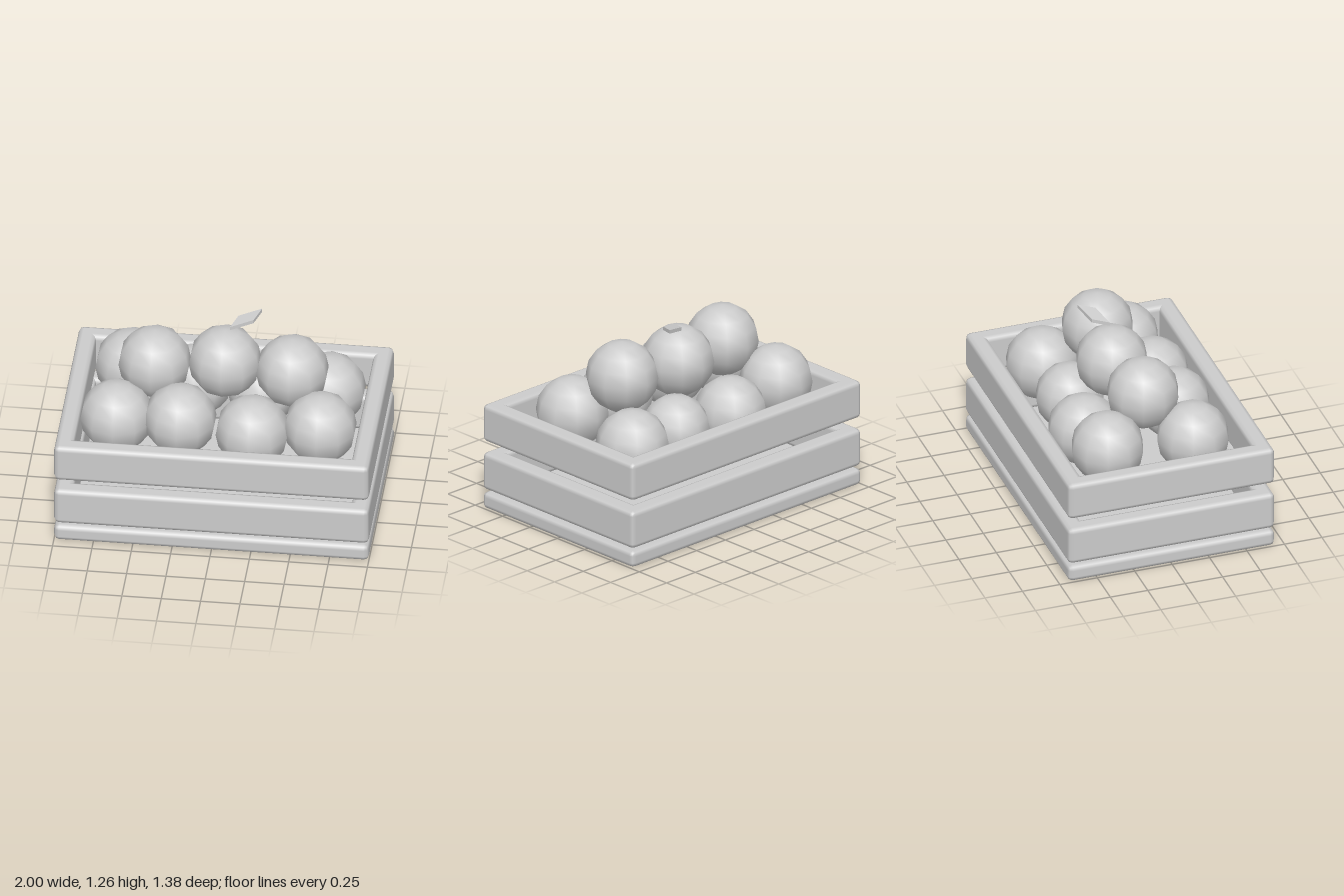
import * as THREE from 'three';
import { RoundedBoxGeometry } from 'three/addons/geometries/RoundedBoxGeometry.js';

export function createModel() {
  const model = new THREE.Group();
  model.name = 'fruitCrate';
  const grey = new THREE.MeshStandardMaterial({ color: 0xcccccc });
  grey.name = 'plain grey';

  function add(name, geometry, x, y, z, parent = model) {
    const mesh = new THREE.Mesh(geometry, grey);
    mesh.name = name;
    mesh.position.set(x, y, z);
    parent.add(mesh);
    return mesh;
  }

  // Bevelled board
  const board = (w, h, d) => new RoundedBoxGeometry(w, h, d, 1, 0.032);

  // Crate: floor and two rings of slats
  const crate = new THREE.Group();
  crate.name = 'crate';
  model.add(crate);
  add('crateFloor', board(2, 0.11, 1.38), 0, 0.055, 0, crate);
  for (const y of [0.255, 0.583]) {
    for (const s of [1, -1]) {
      add(s > 0 ? 'frontSlat' : 'backSlat', board(2, 0.253, 0.12), 0, y, s * 0.63, crate);
      add(s > 0 ? 'leftSlat' : 'rightSlat', board(0.12, 0.253, 1.36), s * 0.94, y, 0, crate);
    }
  }

  // Fruit: x, y, z, radius
  const fruits = [
    [-0.62, 0.71, -0.30, 0.235], [-0.21, 0.615, -0.315, 0.233],
    [0.215, 0.605, -0.26, 0.222], [0.63, 0.622, -0.30, 0.238],
    [-0.65, 0.695, 0.26, 0.235], [-0.245, 0.712, 0.275, 0.233],
    [0.215, 0.665, 0.29, 0.237], [0.64, 0.695, 0.24, 0.234],
    [-0.44, 0.95, 0, 0.233], [0, 0.95, -0.055, 0.233], [0.435, 0.95, 0, 0.233],
  ];
  const fruitPile = new THREE.Group();
  fruitPile.name = 'fruitPile';
  model.add(fruitPile);
  for (const [x, y, z, r] of fruits) {
    const fruit = add('fruit', new THREE.SphereGeometry(r, 10, 8), x, y, z, fruitPile);
    fruit.rotation.y = Math.PI / 2;
  }

  // Leaf: a thin slanted slab on the middle top fruit
  const leaf = new THREE.BoxGeometry(1, 1, 1);
  leaf.applyMatrix4(new THREE.Matrix4().makeBasis(
    new THREE.Vector3(0.145, 0.035, -0.045),
    new THREE.Vector3(0, 0.024, 0),
    new THREE.Vector3(-0.043, -0.02, 0.105),
  ));
  leaf.computeVertexNormals();
  add('leaf', leaf, 0.124, 1.222, -0.133);

  return model;
}
